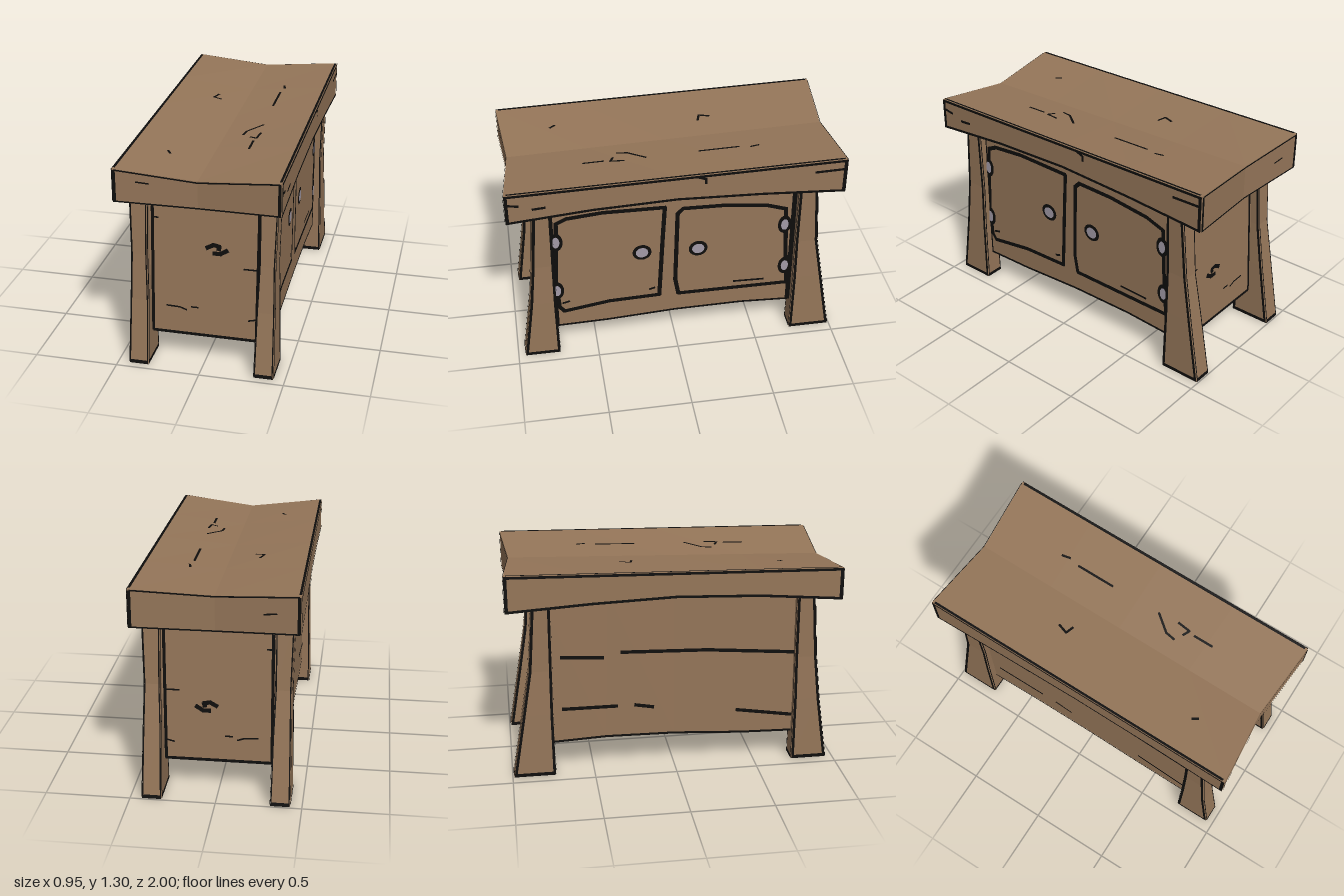
import * as THREE from 'three';

const V = (x, y, z) => new THREE.Vector3(x, y, z);
const LIFT = 0.004;

const wood = new THREE.MeshStandardMaterial({ color: 0x957659 });
wood.name = 'brown wood';
const ink = new THREE.MeshStandardMaterial({ color: 0x0e0d0c, side: THREE.DoubleSide });
ink.name = 'black ink';
const metal = new THREE.MeshStandardMaterial({ color: 0xa39ba8, side: THREE.DoubleSide });
metal.name = 'pale metal';

function fromTriangles(points) {
  const g = new THREE.BufferGeometry().setFromPoints(points);
  g.computeVertexNormals();
  return g;
}

function addMesh(group, name, geometry, material) {
  const m = new THREE.Mesh(geometry, material);
  m.name = name;
  group.add(m);
  return m;
}

// Solid skinned over closed rings, with both ends capped
function loft(rings) {
  const out = [], n = rings[0].length, last = rings[rings.length - 1];
  for (let k = 0; k + 1 < rings.length; k++) {
    for (let i = 0; i < n; i++) {
      const j = (i + 1) % n, a = rings[k], b = rings[k + 1];
      out.push(a[i], a[j], b[j], a[i], b[j], b[i]);
    }
  }
  for (let i = 1; i < n - 1; i++) {
    const p = (1 + i) % n, q = (2 + i) % n;
    out.push(last[1], last[p], last[q], rings[0][1], rings[0][q], rings[0][p]);
  }
  return fromTriangles(out);
}

// Thin dark borders laid on chosen faces of a loft
function borders(group, name, rings, faces, w, startW, endW) {
  const out = [], n = rings[0].length;
  const toward = (a, b, d) => a.clone().add(b.clone().sub(a).setLength(d));
  for (const i of faces) {
    const j = (i + 1) % n;
    const quad = (a, b, c, d, normal) => {
      const [p, q, r, s] = [a, b, c, d].map(v => v.clone().addScaledVector(normal, LIFT));
      out.push(p, q, r, p, r, s);
    };
    for (let k = 0; k + 1 < rings.length; k++) {
      const [a, b, c, d] = [rings[k][i], rings[k][j], rings[k + 1][j], rings[k + 1][i]];
      const normal = b.clone().sub(a).cross(d.clone().sub(a)).normalize();
      quad(a, toward(a, b, w), toward(d, c, w), d, normal);
      quad(toward(b, a, w), b, c, toward(c, d, w), normal);
      if (k === 0 && startW) quad(a, b, toward(b, c, startW), toward(a, d, startW), normal);
      if (k === rings.length - 2 && endW) quad(toward(d, a, endW), toward(c, b, endW), c, d, normal);
    }
  }
  addMesh(group, name, fromTriangles(out), ink);
}

// Flat brush strokes: each is a 2D line placed on a face by map(u, v)
function strokes(group, name, map, w, lines) {
  const out = [];
  for (const line of lines) {
    const pts = line.map(p => new THREE.Vector2(p[0], p[1]));
    for (let i = 0; i + 1 < pts.length; i++) {
      const d = pts[i + 1].clone().sub(pts[i]).setLength(w / 2);
      const a = pts[i].clone().addScaledVector(d, -0.5), b = pts[i + 1].clone().addScaledVector(d, 0.5);
      const at = (p, s) => map(p.x - s * d.y, p.y + s * d.x);
      const [p, q, r, s] = [at(a, -1), at(b, -1), at(b, 1), at(a, 1)];
      out.push(p, q, r, p, r, s);
    }
  }
  addMesh(group, name, fromTriangles(out), ink);
}

// Oval plate on the door side
function oval(group, name, z, y, rz, ry, x, material) {
  const m = addMesh(group, name, new THREE.CircleGeometry(1, 20), material);
  m.rotation.y = Math.PI / 2;
  m.scale.set(rz, ry, 1);
  m.position.set(x, y, z);
}

export function createModel() {
  const model = new THREE.Group();
  model.name = 'cabinet';

  // Table top: creased along the middle, arched underneath
  const topHalf = 0.472;
  const topY = (x, z) => 1.275 - 0.02 * z - (0.04 + 0.01 * z) * (1 - Math.abs(x) / topHalf);
  const endZ = x => 0.958 + 0.04 * Math.abs(x) / topHalf;
  const underside = [1.07, 1.1, 1.118, 1.1, 1.058];
  const top = new THREE.Group();
  top.name = 'tableTop';
  model.add(top);
  const topRings = [-1, -0.5, 0, 0.5, 1].map((t, k) => {
    const e = t * endZ(topHalf), c = t * endZ(0), b = underside[k];
    return [V(-topHalf, b, e), V(0, b - 0.02, c), V(topHalf, b, e),
      V(topHalf, topY(topHalf, e), e), V(0, topY(0, c), c), V(-topHalf, topY(topHalf, e), e)];
  });
  addMesh(top, 'topSlab', loft(topRings), wood);
  borders(top, 'topSideBorders', topRings, [2, 5], 0.016, 0.02, 0.02);
  for (const s of [1, -1]) {
    const map = (x, y) => V(x, y, s * (endZ(x) + LIFT));
    const u = s > 0 ? 1.063 : 1.075, h = topY(0.47, s), c = topY(0, s);
    strokes(top, 'topEndBorders', map, 0.018, [
      [[-0.462, u], [-0.462, h - 0.01]], [[0.462, u], [0.462, h - 0.01]]]);
    strokes(top, 'topEndLines', map, 0.009, [
      [[-0.46, h - 0.006], [0, c - 0.006], [0.46, h - 0.006]],
      [[-0.46, u], [0, u - 0.016], [0.46, u]],
      [[-0.34, 1.185], [-0.27, 1.178]]]);
  }
  strokes(top, 'topGrain', (x, z) => V(x, topY(x, z) + LIFT, z), 0.014, [
    [[-0.465, -0.98], [-0.465, 0.98]], [[0.465, -0.98], [0.465, 0.98]],
    [[0.2, -0.53], [0.21, -0.48]], [[0.195, -0.41], [0.195, -0.17]],
    [[-0.18, -0.3], [-0.2, -0.24], [-0.15, -0.225]],
    [[0.2, 0.15], [0.12, 0.25], [0.11, 0.31]], [[0.21, 0.28], [0.2, 0.36], [0.16, 0.34]],
    [[0.19, 0.4], [0.19, 0.52]], [[-0.25, 0.65], [-0.23, 0.68]]]);
  strokes(top, 'topSideGrain', (z, y) => V(topHalf + LIFT, y, z), 0.016, [
    [[0.98, 1.19], [0.92, 1.18]], [[0.84, 1.15], [0.77, 1.155]],
    [[-0.81, 1.225], [-0.98, 1.23]], [[-0.12, 1.265], [-0.16, 1.25], [-0.16, 1.22]]]);

  // Cabinet body with sloping ends
  const half = 0.375;
  const body = new THREE.Group();
  body.name = 'body';
  model.add(body);
  const floorY = [0.185, 0.205, 0.2, 0.175, 0.165];
  const bodyRings = [-1, -0.5, 0, 0.5, 1].map((t, k) => {
    const b = floorY[k];
    return [V(-half, b, t * 0.84), V(half, b, t * 0.84), V(half, 1.13, t * 0.79), V(-half, 1.13, t * 0.79)];
  });
  addMesh(body, 'cabinetBox', loft(bodyRings), wood);
  borders(body, 'bodySideBorders', bodyRings, [1, 3], 0.014, 0, 0);

  // Painted ends: frame lines, knot and cracks
  for (const s of [1, -1]) {
    const map = (x, y) => V(x, y, s * (0.84 - 0.05 * (y - 0.165) / 0.965 + LIFT));
    const b = s > 0 ? 0.175 : 0.195;
    strokes(body, 'endFrame', map, 0.018, [
      [[-0.31, b], [0.31, b]], [[-0.312, b], [-0.308, 1.05]], [[0.308, b], [0.315, 1.05]]]);
    const ky = s > 0 ? 0 : -0.2;
    strokes(body, 'endKnot', map, 0.026, [
      [[0.01, 0.735 + ky], [0.05, 0.757 + ky], [0.085, 0.75 + ky], [0.08, 0.73 + ky]],
      [[0.05, 0.705 + ky], [0.09, 0.705 + ky], [0.13, 0.73 + ky]]]);
    strokes(body, 'endCracks', map, 0.01, [
      [[-0.23, 0.345], [-0.15, 0.342], [-0.11, 0.328]], [[-0.08, 0.35], [-0.04, 0.35]],
      [[0.23, 0.625], [0.3, 0.625]], [[0.26, 0.3], [0.3, 0.31]], [[-0.3, 0.895], [-0.275, 0.895]]]);
  }

  // Two outlined doors with knobs and hinges
  const doorSide = (z, y) => V(half + LIFT, y, z);
  strokes(body, 'doorOutlines', doorSide, 0.026, [
    [[0.712, 0.96], [0.65, 0.99], [0.435, 1.01], [0.065, 1.005], [0.078, 0.78], [0.1, 0.34],
      [0.41, 0.33], [0.695, 0.285], [0.722, 0.325], [0.735, 0.51], [0.712, 0.96]],
    [[-0.012, 0.95], [-0.045, 0.985], [-0.285, 0.98], [-0.555, 0.95], [-0.675, 0.91], [-0.69, 0.62],
      [-0.712, 0.335], [-0.02, 0.335], [0, 0.45], [-0.012, 0.95]]]);
  strokes(body, 'doorCracks', doorSide, 0.014, [
    [[-0.37, 0.385], [-0.56, 0.38]], [[0.13, 0.4], [0.16, 0.39]], [[0.66, 0.36], [0.7, 0.35]]]);
  strokes(body, 'sideCorners', doorSide, 0.03, [
    [[0.745, 0.18], [0.745, 1.08]], [[-0.725, 0.2], [-0.725, 1.08]]]);
  for (const [z, y] of [[0.205, 0.687], [-0.14, 0.677]]) {
    oval(body, 'knobRim', z, y, 0.058, 0.056, half + 0.006, ink);
    oval(body, 'knob', z, y, 0.038, 0.036, half + 0.009, metal);
  }
  for (const [z, y] of [[0.72, 0.825], [0.73, 0.455], [-0.673, 0.795], [-0.69, 0.475]]) {
    oval(body, 'hingeRim', z, y, 0.042, 0.066, half + 0.006, ink);
    oval(body, 'hinge', z, y, 0.023, 0.04, half + 0.009, metal);
  }

  // Plank lines on the plain long side
  strokes(body, 'plankLines', (z, y) => V(-half - LIFT, y, z), 0.022, [
    [[-0.68, 0.745], [-0.43, 0.73]], [[-0.32, 0.76], [0.2, 0.745], [0.74, 0.7]],
    [[-0.68, 0.41], [-0.35, 0.41]], [[-0.24, 0.41], [-0.13, 0.39]],
    [[0.39, 0.335], [0.55, 0.31], [0.74, 0.28]]]);

  // Four splayed legs: height, inner x, outer x, inner z, front outer z, back outer z
  const profile = [
    [0, 0.318, 0.43, 0.738, 0.955, 0.99],
    [0.4, 0.322, 0.424, 0.742, 0.9, 0.922],
    [0.68, 0.33, 0.418, 0.74, 0.872, 0.875],
    [1.1, 0.328, 0.428, 0.738, 0.842, 0.845]];
  for (const sx of [1, -1]) {
    for (const sz of [1, -1]) {
      const leg = new THREE.Group();
      leg.name = (sz > 0 ? 'front' : 'back') + (sx > 0 ? 'Left' : 'Right') + 'Leg';
      model.add(leg);
      const rings = profile.map(([y, xi, xo, zi, zf, zb]) => {
        const zo = sz > 0 ? zf : zb;
        const xs = [sx * xi, sx * xo].sort((a, b) => a - b);
        const zs = [sz * zi, sz * zo].sort((a, b) => a - b);
        return [V(xs[1], y, zs[1]), V(xs[1], y, zs[0]), V(xs[0], y, zs[0]), V(xs[0], y, zs[1])];
      });
      addMesh(leg, 'legPost', loft(rings), wood);
      borders(leg, 'legSideBorders', rings, [0, 2], 0.016, 0.022, 0.03);
      borders(leg, 'legEndBorders', rings, [1, 3], 0.007, 0.022, 0.02);
      const f = rings[0];
      addMesh(leg, 'footSole', fromTriangles([f[0], f[2], f[1], f[0], f[3], f[2]]
        .map(p => V(p.x, -0.002, p.z))), ink);
    }
  }
  return model;
}
